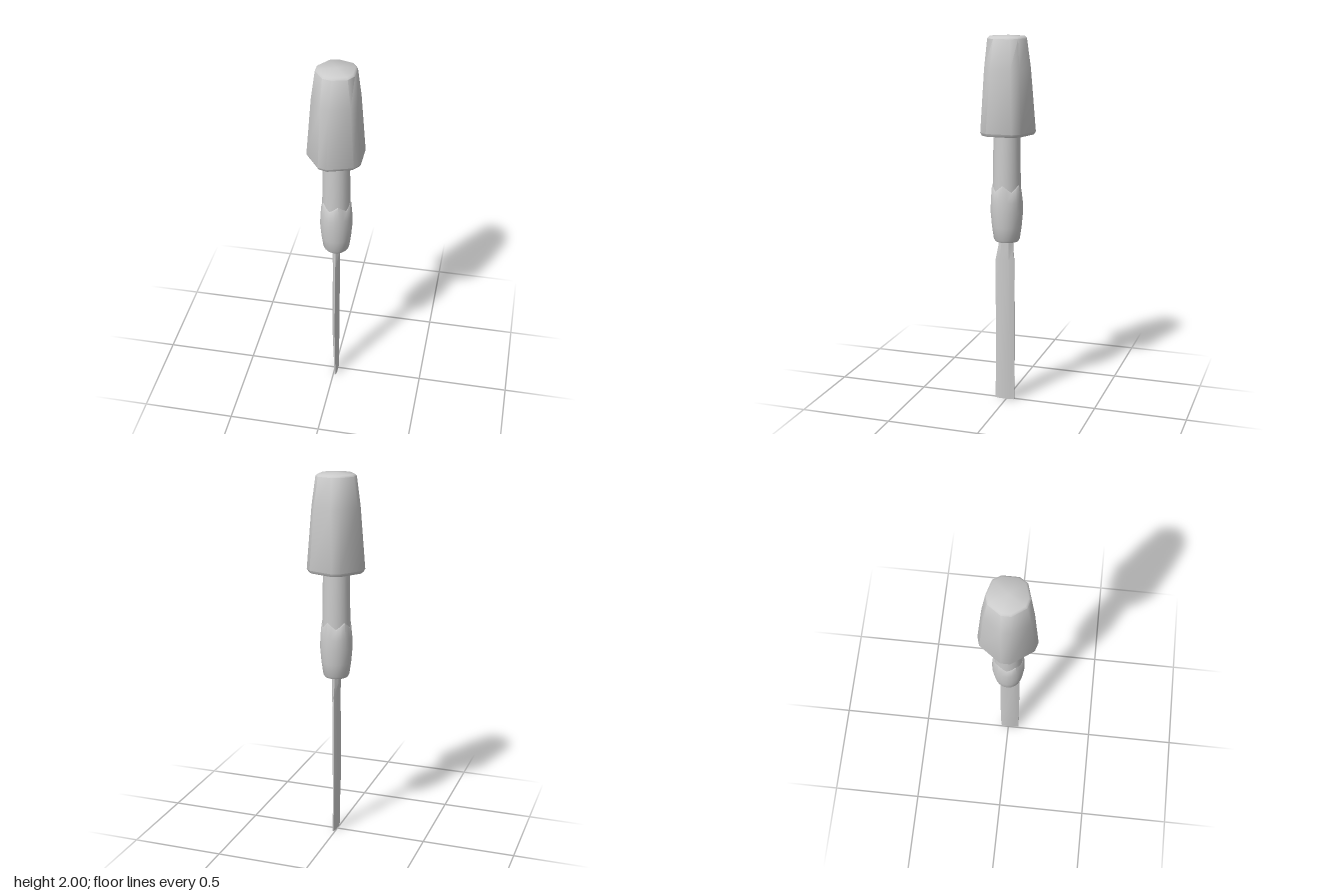
import * as THREE from 'three';
import { toCreasedNormals } from 'three/addons/utils/BufferGeometryUtils.js';

// Skin a stack of rings (bottom to top, each running from +x towards +z); cap both ends.
function loft(name, rings, crease, topRise = 0) {
  const n = rings[0].length, pos = [], idx = [];
  rings.forEach(r => r.forEach(p => pos.push(...p)));
  for (let k = 0; k < rings.length - 1; k++) {
    for (let i = 0; i < n; i++) {
      const j = (i + 1) % n, a = k * n + i, b = k * n + j;
      idx.push(a, a + n, b, b, a + n, b + n);
    }
  }
  [0, rings.length - 1].forEach((k, end) => {
    const centre = [0, 1, 2].map(c => rings[k].reduce((s, p) => s + p[c], 0) / n);
    centre[1] += end ? topRise : 0;
    const m = pos.length / 3;
    pos.push(...centre);
    for (let i = 0; i < n; i++) {
      const a = k * n + i, b = k * n + (i + 1) % n;
      if (end) idx.push(a, m, b); else idx.push(a, b, m);
    }
  });
  const geo = new THREE.BufferGeometry();
  geo.setAttribute('position', new THREE.Float32BufferAttribute(pos, 3));
  geo.setIndex(idx);
  const mesh = new THREE.Mesh(toCreasedNormals(geo, crease),
    new THREE.MeshStandardMaterial({ color: 0xcccccc }));
  mesh.name = name;
  return mesh;
}

// Mirror half an outline of [x, z] points across z = 0.
const mirrored = half => [...half, ...half.map(([x, z]) => [x, -z]).reverse()];

// Round ring, optionally with a scalloped height.
function round(y, r, cx = 0.006, n = 20, wave = 0) {
  return Array.from({ length: n }, (_, i) => {
    const a = i / n * Math.PI * 2;
    return [cx + r * Math.cos(a), y + wave * Math.cos(a * 5), r * Math.sin(a)];
  });
}

export function createModel() {
  const group = new THREE.Group();

  // Pentagonal grip with clipped corners, tapering up to a rounded end
  const base = mirrored([[0.145, 0.07], [0.115, 0.11], [-0.016, 0.152], [-0.063, 0.138], [-0.145, 0.025]]);
  const crown = mirrored([[0.104, 0.042], [0.077, 0.083], [0, 0.105], [-0.047, 0.092], [-0.096, 0.025]]);
  const gripRing = (y, t, s = 1) => base.map(([x, z], i) => [
    s * THREE.MathUtils.lerp(x, crown[i][0], t), y, s * THREE.MathUtils.lerp(z, crown[i][1], t)]);
  group.add(loft('grip', [
    gripRing(1.487, 0, 0.94), gripRing(1.503, 0), gripRing(1.83, 0.56),
    gripRing(1.985, 1), gripRing(1.994, 1, 0.9)], 0.75, 0.006));

  // Neck between grip and collar
  group.add(loft('neck', [round(1.1, 0.074), round(1.2, 0.075), round(1.5, 0.07)], 0.8));

  // Bulging collar with a scalloped upper lip
  group.add(loft('collar', [
    round(0.908, 0.063), round(0.92, 0.07), round(0.99, 0.08), round(1.07, 0.087),
    round(1.13, 0.085, 0.006, 20, 0.005), round(1.195, 0.079, 0.006, 20, 0.018),
    round(1.205, 0.073, 0.006, 20, 0.018)], 0.8));

  // Thin flat blade with bevelled long edges: [y, xMin, xMax, zBack, zFront]
  const bladeRings = [
    [0, 0.002, 0.019, -0.044, 0.063], [0.36, -0.01, 0.021, -0.046, 0.063],
    [0.8, -0.006, 0.024, -0.043, 0.062], [0.87, -0.011, 0.025, -0.036, 0.048],
    [0.93, -0.012, 0.025, -0.035, 0.04],
  ].map(([y, x0, x1, z0, z1]) => {
    const mid = (x0 + x1) / 2, e = 0.003, bevel = (z1 - z0) * 0.25;
    return [[x1, y, z0 + bevel], [x1, y, z1 - bevel], [mid + e, y, z1], [mid - e, y, z1],
      [x0, y, z1 - bevel], [x0, y, z0 + bevel], [mid - e, y, z0], [mid + e, y, z0]];
  });
  group.add(loft('blade', bladeRings, 0.5));

  return group;
}
